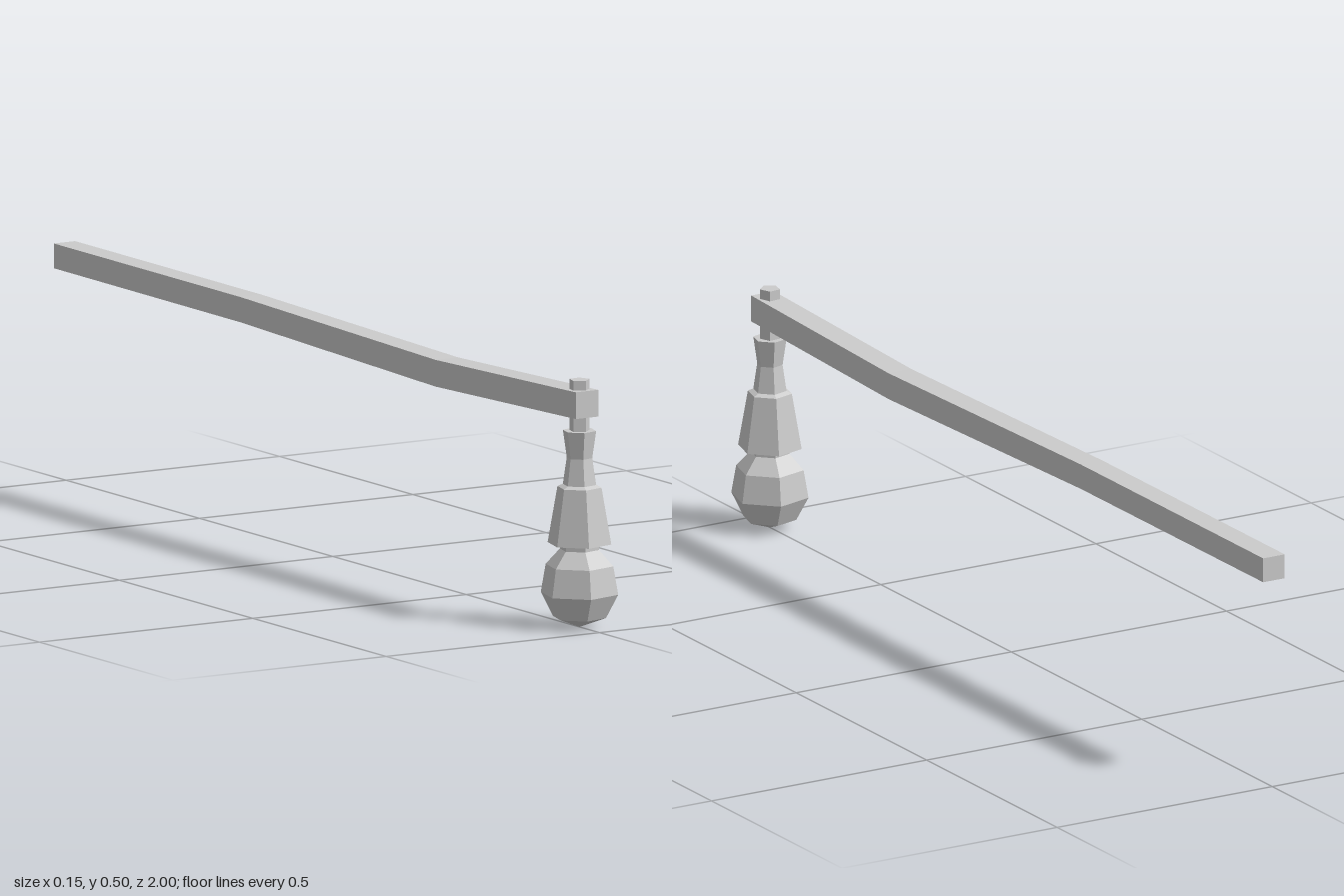
import * as THREE from 'three';

const material = new THREE.MeshStandardMaterial({ color: 0xcccccc, flatShading: true });

// Faceted turned part from [radius, height] points, bottom to top
function turned(name, profile, sides, startDegrees) {
  const points = profile.map(([r, y]) => new THREE.Vector2(r, y));
  const start = THREE.MathUtils.degToRad(startDegrees);
  const mesh = new THREE.Mesh(new THREE.LatheGeometry(points, sides, start), material);
  mesh.name = name;
  return mesh;
}

// Square beam that bends slightly: each section is [z, x centre, y centre, width, height]
function bentBeam(name, sections) {
  const last = sections.length - 1;
  const geometry = new THREE.BoxGeometry(1, 1, 1, 1, 1, last);
  const pos = geometry.attributes.position;
  for (let i = 0; i < pos.count; i++) {
    const [z, cx, cy, w, h] = sections[Math.round((pos.getZ(i) + 0.5) * last)];
    pos.setXYZ(i, cx + pos.getX(i) * w, cy + pos.getY(i) * h, z);
  }
  geometry.computeVertexNormals();
  const mesh = new THREE.Mesh(geometry, material);
  mesh.name = name;
  return mesh;
}

export function createModel() {
  const model = new THREE.Group();
  model.name = 'hangingLampOnPole';

  // Long pole running back from the lamp
  model.add(bentBeam('pole', [
    [-1, -0.004, 0.456, 0.05, 0.05],
    [-0.3, -0.004, 0.455, 0.05, 0.051],
    [0.43, -0.002, 0.439, 0.053, 0.054],
    [0.955, -0.001, 0.454, 0.053, 0.054],
  ]));

  // Lamp hanging from the front end
  const lamp = new THREE.Group();
  lamp.name = 'lamp';
  lamp.position.z = 0.925;
  lamp.add(
    turned('pin', [[0, 0.385], [0.021, 0.385], [0.021, 0.5], [0, 0.5]], 5, 5),
    turned('cap', [[0, 0.28], [0.034, 0.28], [0.034, 0.288], [0.026, 0.342], [0.034, 0.397], [0, 0.397]], 6, -15),
    turned('shade', [[0, 0.169], [0.065, 0.169], [0.045, 0.283], [0.034, 0.288], [0, 0.288]], 6, -15),
    turned('bulb', [[0, 0], [0.054, 0.02], [0.079, 0.068], [0.069, 0.125], [0.04, 0.157], [0.04, 0.172], [0, 0.172]], 6, -15),
  );
  model.add(lamp);
  return model;
}
